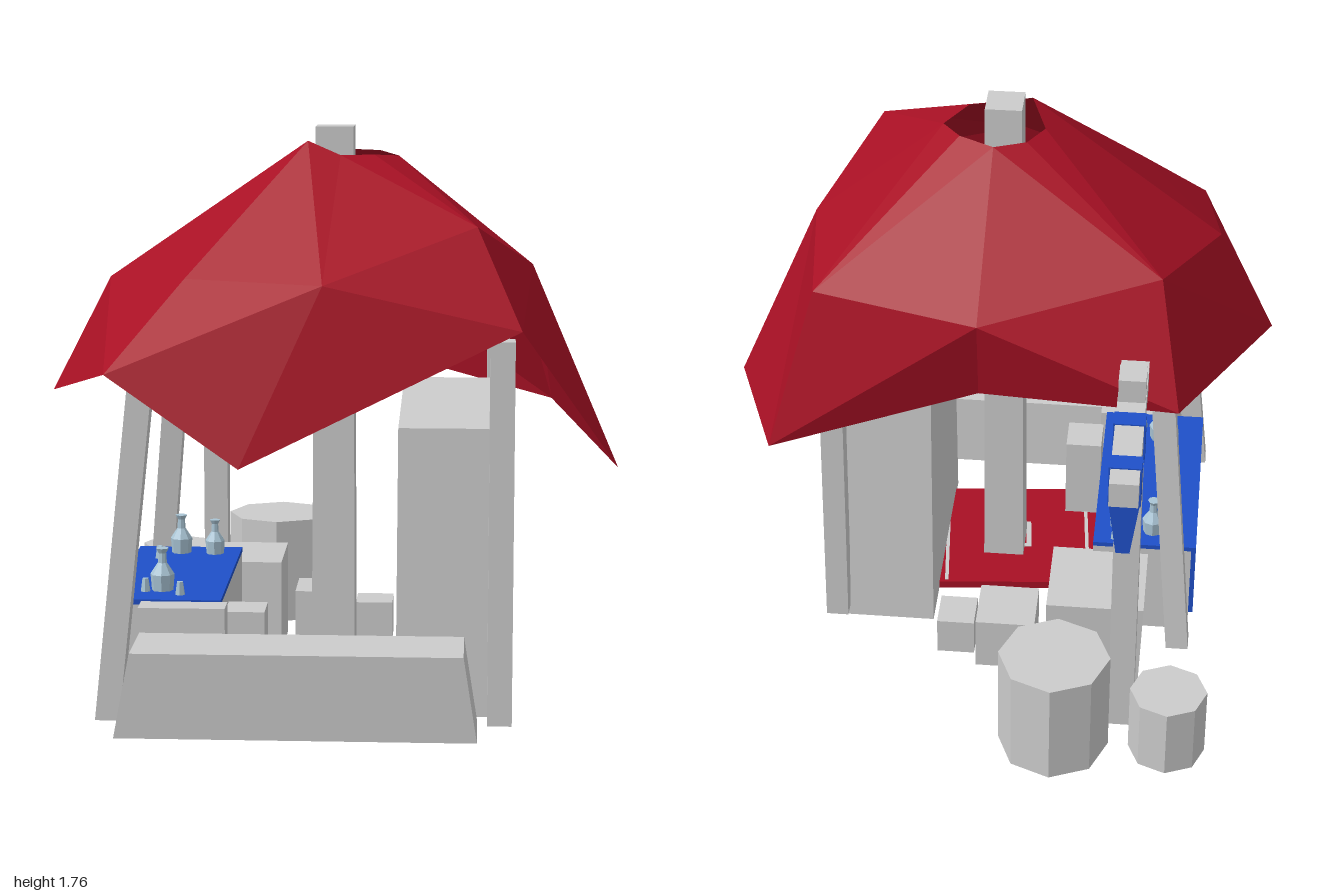
import * as THREE from 'three';

const GREY = 0xcccccc, RED = 0xa81024, BLUE = 0x1f50c8, GLASS = 0xa9c4d4;

export function createModel() {
  const model = new THREE.Group();

  function add(name, geometry, color = GREY, parent = model) {
    const material = new THREE.MeshStandardMaterial({ color, flatShading: true, side: THREE.DoubleSide });
    const mesh = new THREE.Mesh(geometry, material);
    mesh.name = name;
    parent.add(mesh);
    return mesh;
  }

  // Leave out a run of triangle corners, used for the open undersides
  function cut(geometry, start, count) {
    const index = Array.from(geometry.index.array);
    index.splice(start, count);
    geometry.setIndex(index);
    geometry.clearGroups();
  }

  // Block between two horizontal rectangles [x0, x1, z0, z1]
  function block(name, y0, y1, low, high = low, { color = GREY, parent = model, open = true } = {}) {
    const g = new THREE.BoxGeometry(1, 1, 1);
    const p = g.attributes.position;
    for (let i = 0; i < p.count; i++) {
      const up = p.getY(i) > 0;
      const r = up ? high : low;
      p.setXYZ(i, r[p.getX(i) > 0 ? 1 : 0], up ? y1 : y0, r[p.getZ(i) > 0 ? 3 : 2]);
    }
    if (open) cut(g, 18, 6);
    g.computeVertexNormals();
    return add(name, g, color, parent);
  }

  // Square post leaning from one point to another
  function post(name, [x0, y0, z0], [x1, y1, z1], h = 0.036) {
    return block(name, y0, y1, [x0 - h, x0 + h, z0 - h, z0 + h], [x1 - h, x1 + h, z1 - h, z1 + h]);
  }

  // Draped roof, open at the crown: rim, middle and crown rings from the back right corner
  const rings = [
    [[-0.59, 1.05, -0.34], [0.03, 1.02, -0.25], [0.68, 0.83, -0.33], [0.87, 0.71, 0.26],
      [0.56, 1.21, 0.84], [-0.24, 0.835, 1.0], [-0.63, 1.09, 0.92], [-0.87, 0.95, 0.32]],
    [[-0.52, 1.40, -0.14], [0.03, 1.295, -0.30], [0.54, 1.335, -0.21], [0.60, 1.34, 0.26],
      [0.43, 1.49, 0.65], [-0.01, 1.34, 0.86], [-0.42, 1.34, 0.70], [-0.69, 1.30, 0.30]],
    [[-0.08, 1.68, 0.16], [0.02, 1.68, 0.12], [0.13, 1.68, 0.18], [0.19, 1.67, 0.27],
      [0.12, 1.68, 0.38], [0.02, 1.68, 0.41], [-0.08, 1.72, 0.37], [-0.13, 1.68, 0.25]],
  ];
  // Each panel folds along its outward bulging diagonal
  const reach = (a, b) => Math.hypot(a[0] + b[0], a[1] + b[1] - 1.2, a[2] + b[2] - 0.6);
  const tris = [];
  for (let i = 0; i < 8; i++) {
    const j = (i + 1) % 8;
    for (let r = 0; r < 2; r++) {
      const [lo, hi] = [rings[r], rings[r + 1]];
      if (reach(lo[i], hi[j]) > reach(lo[j], hi[i])) tris.push(lo[i], hi[i], hi[j], lo[i], hi[j], lo[j]);
      else tris.push(lo[i], hi[i], lo[j], lo[j], hi[i], hi[j]);
    }
  }
  const roof = new THREE.BufferGeometry();
  roof.setAttribute('position', new THREE.Float32BufferAttribute(tris.flat(), 3));
  roof.computeVertexNormals();
  add('roofCloth', roof, RED);

  // Roof supports
  block('centrePost', 0.01, 1.76, [-0.075, 0.06, 0.2, 0.34], [-0.06, 0.055, 0.21, 0.33]);
  post('frontLeftPost', [0.505, 0.05, 0.805], [0.505, 1.18, 0.805]);
  post('frontRightPost', [-0.645, 0.05, 0.8], [-0.53, 1.12, 0.8]);
  post('backLeftPost', [0.51, 0.05, -0.16], [0.5, 1.2, -0.16]);
  post('backRightPost', [-0.62, 0.04, -0.215], [-0.525, 1.14, -0.14]);

  // Front counter flaring forward, and the tall cupboard with its sloping top
  block('frontCounter', 0.035, 0.29, [-0.61, 0.44, 0.72, 0.965], [-0.56, 0.4, 0.735, 0.975]);
  const cupboard = block('cupboard', 0.01, 0.885, [0.195, 0.5, -0.145, 0.61], [0.2, 0.475, -0.08, 0.585]);
  const cp = cupboard.geometry.attributes.position;
  for (let i = 0; i < cp.count; i++) {
    if (cp.getY(i) > 0.5 && cp.getZ(i) < 0.2) cp.setY(i, 0.935);
  }
  cupboard.geometry.computeVertexNormals();

  // Table, with a cloth over its top and outer side, and the crates at its end
  block('table', 0.01, 0.345, [-0.65, -0.33, -0.11, 0.6]);
  block('tableClothTop', 0.345, 0.36, [-0.665, -0.33, -0.12, 0.61], undefined, { color: BLUE });
  block('tableClothSide', 0.09, 0.345, [-0.665, -0.65, -0.12, 0.61], undefined, { color: BLUE });
  block('tableEndCrate', 0.01, 0.355, [-0.6, -0.31, 0.61, 0.695], [-0.57, -0.31, 0.61, 0.695]);
  block('lowCrate', 0.01, 0.32, [-0.32, -0.2, 0.46, 0.59]);

  // Bottles and cups on the table
  const bottleShape = [[0, 0], [0.033, 0], [0.037, 0.05], [0.014, 0.085], [0.012, 0.115], [0.02, 0.13], [0, 0.13]]
    .map(([x, y]) => new THREE.Vector2(x, y));
  for (const [x, z, s] of [[-0.52, 0.48, 1], [-0.52, -0.04, 0.95], [-0.41, -0.03, 0.85]]) {
    const bottle = add('bottle', new THREE.LatheGeometry(bottleShape, 8), GLASS);
    bottle.position.set(x, 0.36, z);
    bottle.scale.setScalar(s);
  }
  for (const [x, z] of [[-0.57, 0.5], [-0.58, 0.05], [-0.46, 0.54], [-0.4, -0.09]]) {
    add('cup', new THREE.CylinderGeometry(0.01, 0.016, 0.04, 6), GLASS).position.set(x, 0.38, z);
  }

  // Rug with light stripes and a square ring
  const rug = new THREE.Group();
  rug.name = 'rug';
  rug.position.set(-0.025, 0, 0.31);
  rug.rotation.y = 0.09;
  model.add(rug);
  block('rugCloth', 0.004, 0.03, [-0.4, 0.4, -0.26, 0.26], undefined, { color: RED, parent: rug, open: false });
  const trim = { parent: rug, open: false };
  for (const x of [-0.26, 0.22]) {
    block('rugStripe', 0.001, 0.033, [x - 0.006, x + 0.006, -0.25, 0.25], undefined, trim);
  }
  for (const s of [-1, 1]) {
    const c = s * 0.06;
    block('rugRingSide', 0.001, 0.033, [c - 0.008, c + 0.008, -0.068, 0.068], undefined, trim);
    block('rugRingEnd', 0.001, 0.033, [-0.052, 0.052, c - 0.008, c + 0.008], undefined, trim);
  }

  // Crates behind the stall
  block('largeCrate', 0.01, 0.315, [-0.5, -0.2, -0.39, -0.09], [-0.51, -0.2, -0.4, -0.1]);
  block('mediumCrate', 0.02, 0.2, [-0.16, 0.03, -0.37, -0.18]);
  block('smallCrate', 0.035, 0.16, [0.04, 0.16, -0.33, -0.2]);

  // Eight sided barrels
  for (const [x, r, h] of [[-0.248, 0.174, 0.35], [-0.605, 0.12, 0.235]]) {
    const g = new THREE.CylinderGeometry(r, r, h, 8);
    cut(g, g.index.count - 24, 24);
    add('barrel', g).position.set(x, 0.01 + h / 2, -0.69);
  }

  // Hanging banner on its own post
  block('signPost', 0.01, 1.345, [-0.495, -0.415, -0.6, -0.52], [-0.495, -0.415, -0.605, -0.52]);
  block('signBeam', 1.19, 1.27, [-0.497, -0.413, -1.0, -0.42], [-0.497, -0.413, -1.0, -0.39], { open: false });
  const cloth = { color: BLUE, open: false };
  block('banner', 0.97, 1.15, [-0.475, -0.435, -0.93, -0.66], [-0.5, -0.41, -0.93, -0.655], cloth);
  for (const z of [-0.9, -0.69]) {
    block('bannerStrap', 1.14, 1.274, [-0.502, -0.408, z - 0.03, z + 0.03], undefined, cloth);
  }

  return model;
}
